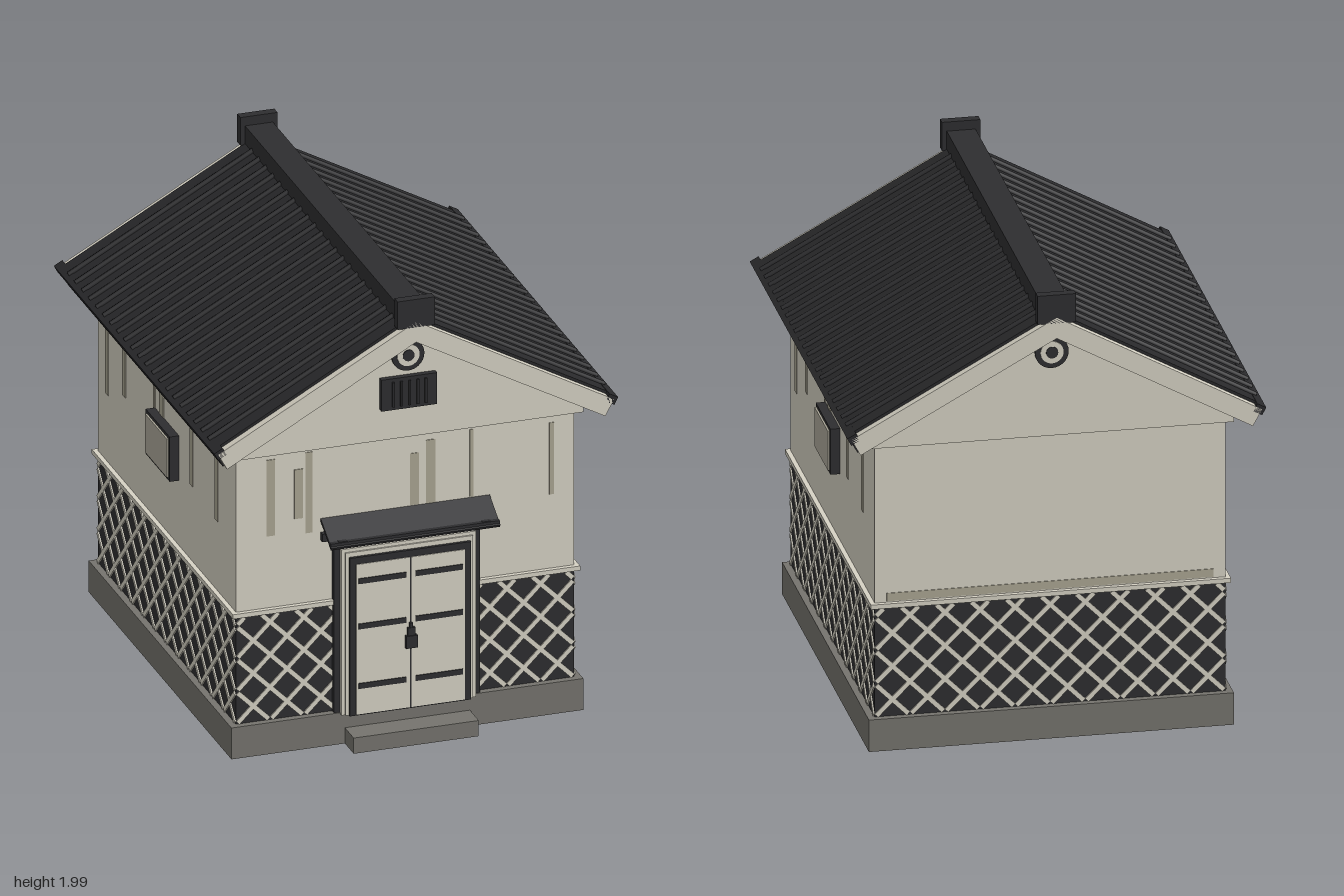
import * as THREE from 'three';

const mat = (name, color) => {
  const m = new THREE.MeshStandardMaterial({ color });
  m.name = name;
  return m;
};

export function createModel() {
  const plaster = mat('plaster', 0xd6d2c4);
  const black = mat('charcoal', 0x2e2e30);
  const tile = mat('roof tile', 0x29292b);
  const stone = mat('stone', 0x76746e);
  const stain = mat('stain', 0xaba693);
  const pane = mat('window pane', 0xafab9c);
  const root = new THREE.Group();
  root.name = 'storehouse';

  const add = (parent, name, geo, material) => {
    const m = new THREE.Mesh(geo, material);
    m.name = name;
    parent.add(m);
    return m;
  };
  // Box given by its limits on each axis
  const box = (parent, name, material, x0, x1, y0, y1, z0, z1) => {
    const m = add(parent, name, new THREE.BoxGeometry(x1 - x0, y1 - y0, z1 - z0), material);
    m.position.set((x0 + x1) / 2, (y0 + y1) / 2, (z0 + z1) / 2);
    return m;
  };
  const group = (name, parent = root) => {
    const g = new THREE.Group();
    g.name = name;
    parent.add(g);
    return g;
  };

  // Hollow stone plinth with a dark floor, and the step
  const rect = (P, a, b) => new P([[-a, -b], [a, -b], [a, b], [-a, b]].map(p => new THREE.Vector2(...p)));
  const ring = rect(THREE.Shape, 0.76, 0.89);
  ring.holes.push(rect(THREE.Path, 0.72, 0.85));
  const plinth = new THREE.ExtrudeGeometry(ring, { depth: 0.14, bevelEnabled: false });
  add(root, 'plinth', plinth.rotateX(-Math.PI / 2), stone);
  box(root, 'floor', black, -0.725, 0.725, 0.125, 0.139, -0.855, 0.855);
  box(root, 'step', stone, -0.27, 0.27, 0, 0.07, 0.88, 1.0);

  // Walls
  box(root, 'lowerWall', black, -0.73, 0.73, 0.138, 0.62, -0.86, 0.86);
  box(root, 'belt', plaster, -0.75, 0.75, 0.62, 0.64, -0.88, 0.88);
  box(root, 'upperWall', plaster, -0.73, 0.73, 0.64, 1.34, -0.86, 0.86);
  const gable = new THREE.Shape([[-0.76, 1.33], [0.76, 1.33], [0.76, 1.4], [0, 1.82], [-0.76, 1.4]]
    .map(p => new THREE.Vector2(...p)));
  add(root, 'gableBlock', new THREE.ExtrudeGeometry(gable, { depth: 1.78, bevelEnabled: false })
    .translate(0, 0, -0.89), plaster);

  // Diagonal lattice on the four lower walls
  const lattice = (half, dist, turn, count) => {
    const g = group('lattice');
    g.rotation.y = turn;
    const pitch = 2 * half / count, h = 0.48;
    for (let k = -4; k <= count + 4; k++) {
      for (const d of [-1, 1]) {
        const s0 = -half + k * pitch;
        const a = Math.max(-half, Math.min(s0, s0 + d * h));
        const b = Math.min(half, Math.max(s0, s0 + d * h));
        if (b - a < 0.03) continue;
        const strip = add(g, 'latticeStrip',
          new THREE.BoxGeometry((b - a) * Math.SQRT2 - 0.018, 0.02, 0.012), plaster);
        strip.position.set((a + b) / 2, 0.14 + d * ((a + b) / 2 - s0), dist);
        strip.rotation.z = d * Math.PI / 4;
      }
    }
  };
  for (const t of [0, Math.PI]) {
    lattice(0.73, 0.86, t, 10);
    lattice(0.86, 0.73, t + Math.PI / 2, 12);
  }

  // Weather stains: centre, width, bottom, top
  const stains = (parent, list, dist) => list.forEach(([c, w, y0, y1]) =>
    box(parent, 'stain', stain, c - w / 2, c + w / 2, y0, y1, dist - 0.002, dist + 0.003));
  stains(root, [[-0.58, 0.037, 0.96, 1.3], [-0.46, 0.037, 1.02, 1.24], [-0.415, 0.03, 0.95, 1.31],
    [0.04, 0.037, 1.01, 1.24], [0.11, 0.04, 1.0, 1.29], [0.287, 0.015, 1.01, 1.31],
    [0.632, 0.02, 0.97, 1.29]], 0.86);
  box(root, 'backStain', stain, -0.68, 0.68, 0.645, 0.68, -0.863, -0.858);

  // Side walls: stains and a framed window each
  for (const t of [1, -1]) {
    const side = group(t > 0 ? 'leftSide' : 'rightSide');
    side.rotation.y = t * Math.PI / 2;
    stains(side, [[-0.746, 0.037, 0.94, 1.32], [-0.532, 0.037, 1.02, 1.235], [-0.155, 0.02, 1.12, 1.24],
      [-0.08, 0.02, 1.12, 1.285], [-0.057, 0.035, 1.12, 1.23], [0.308, 0.037, 0.975, 1.28],
      [0.617, 0.037, 0.95, 1.305]], 0.73);
    for (const s of [-1, 1]) {
      box(side, 'windowJamb', black, s * 0.1425 - 0.0075, s * 0.1425 + 0.0075, 0.93, 1.13, 0.72, 0.77);
      box(side, 'windowRail', black, -0.15, 0.15, 1.03 + s * 0.0925 - 0.0075, 1.03 + s * 0.0925 + 0.0075, 0.72, 0.77);
    }
    box(side, 'windowPane', pane, -0.136, 0.136, 0.944, 1.116, 0.72, 0.778);
  }

  // Roof: each slope is built flat, then tilted
  const L = 0.976, tilt = Math.atan(0.55);
  for (const t of [0, Math.PI]) {
    const half = group('roofHalf');
    half.rotation.y = t;
    const slope = group('roofSlope', half);
    slope.position.y = 1.89;
    slope.rotation.z = -tilt;
    box(slope, 'bargeAndSoffit', plaster, 0, L, -0.08, 0, -1, 1);
    box(slope, 'tileBed', tile, 0, L, -0.01, 0.012, -0.965, 0.965);
    box(slope, 'eaveFascia', tile, L - 0.008, L + 0.006, -0.078, 0, -0.965, 0.965);
    box(slope, 'eaveBar', tile, L - 0.03, L + 0.012, -0.022, 0.014, -1, 1);
    for (let i = -10; i <= 10; i++) {
      const rib = add(slope, 'tileRib', new THREE.CylinderGeometry(0.0135, 0.0135, L - 0.02, 8), tile);
      rib.rotation.z = Math.PI / 2;
      rib.position.set(L / 2, 0.012, i * 0.0875);
    }
  }
  box(root, 'ridge', black, -0.06, 0.06, 1.84, 1.95, -0.97, 0.97);

  // Ridge caps and round gable ornaments at both ends
  for (const s of [1, -1]) {
    const end = group(s > 0 ? 'frontGable' : 'backGable');
    end.rotation.y = s > 0 ? 0 : Math.PI;
    box(end, 'ridgeCap', black, -0.08, 0.08, 1.865, 1.99, 0.96, 1.0);
    [[0.07, 0.9, black], [0.048, 0.904, plaster], [0.025, 0.908, black]].forEach(([r, z, m]) => {
      const disc = add(end, 'gableOrnament', new THREE.CylinderGeometry(r, r, 0.02, 28), m);
      disc.rotation.x = Math.PI / 2;
      disc.position.set(0, 1.7, z - 0.01);
    });
  }

  // Gable vent with vertical slats
  box(root, 'vent', black, -0.12, 0.12, 1.47, 1.61, 0.88, 0.915);
  for (let i = -2; i <= 2; i++)
    box(root, 'ventSlat', tile, i * 0.035 - 0.005, i * 0.035 + 0.005, 1.485, 1.595, 0.91, 0.923);

  // Doorway: nested frames stepping outward
  const door = group('door');
  [['outerFrame', black, 0.315, 0.91, 0.885], ['plasterFrame', plaster, 0.29, 0.875, 0.908],
    ['plasterStep', plaster, 0.275, 0.86, 0.915], ['innerFrame', black, 0.262, 0.84, 0.928]]
    .forEach(([n, m, x, y, z]) => box(door, n, m, -x, x, 0.135, y, 0.85, z));
  for (const s of [-1, 1]) {
    const c = s * 0.1195;
    box(door, 'doorLeaf', plaster, c - 0.1155, c + 0.1155, 0.14, 0.81, 0.9, 0.931);
    for (const y of [0.735, 0.533, 0.267])
      box(door, 'strap', black, s * 0.1225 - 0.1025, s * 0.1225 + 0.1025, y - 0.012, y + 0.012, 0.925, 0.935);
  }
  box(door, 'lockBody', black, -0.025, 0.025, 0.41, 0.465, 0.925, 0.948);
  box(door, 'lockNeck', black, -0.016, 0.016, 0.465, 0.5, 0.925, 0.943);
  box(door, 'lockTop', black, -0.007, 0.007, 0.5, 0.52, 0.925, 0.94);

  // Sloping canopy over the door
  const canopy = group('canopy');
  box(canopy, 'lintel', black, -0.365, 0.365, 0.91, 0.945, 0.85, 0.885);
  box(canopy, 'canopyBeam', black, -0.365, 0.365, 0.927, 0.945, 0.965, 0.99);
  for (const s of [-1, 1])
    box(canopy, 'canopyArm', black, s * 0.31 - 0.018, s * 0.31 + 0.018, 0.927, 0.947, 0.85, 0.985);
  const board = add(canopy, 'canopyBoard', new THREE.BoxGeometry(0.73, 0.014, 0.155), black);
  board.position.set(0, 0.962, 0.926);
  board.rotation.x = 0.53;
  return root;
}
